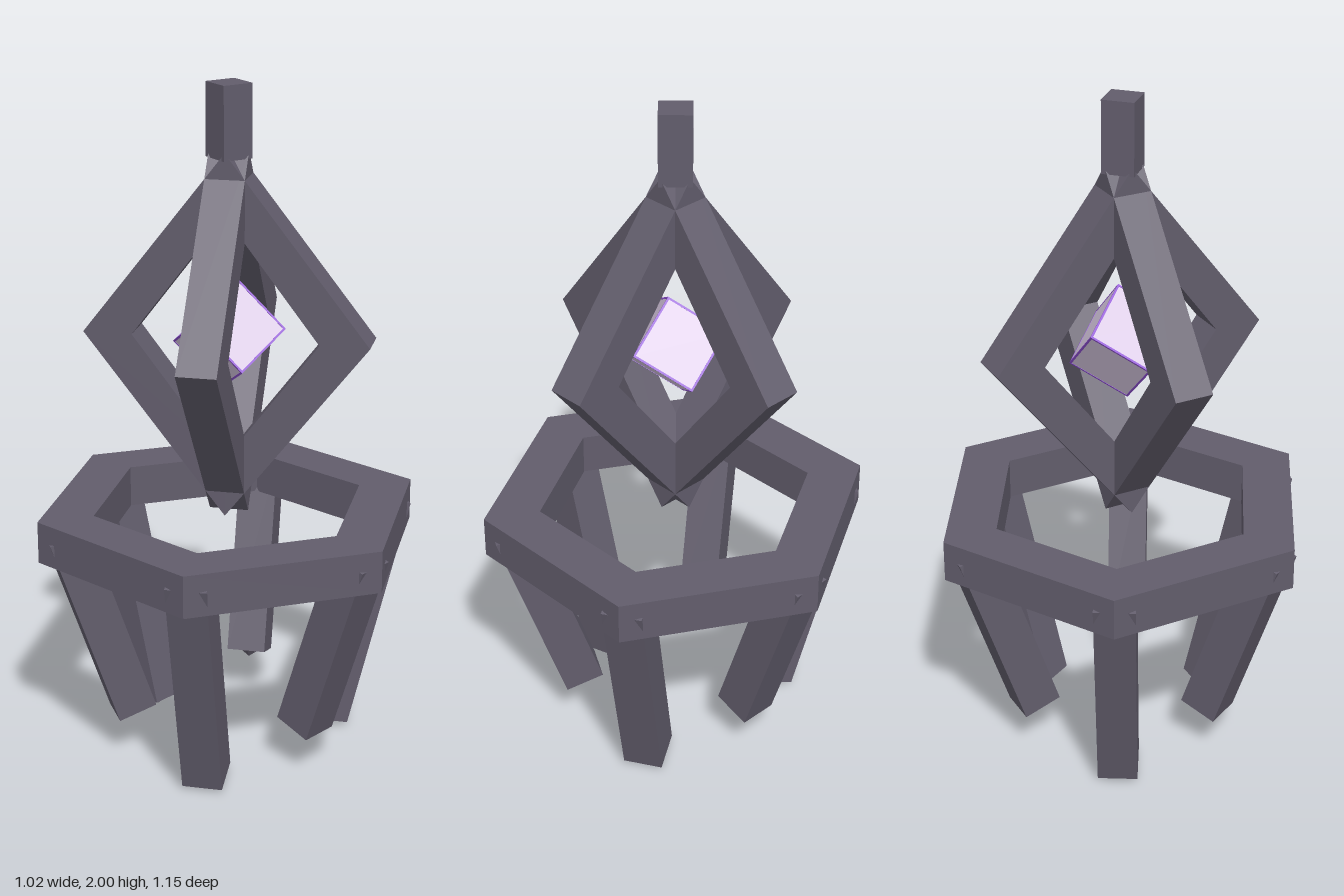
import * as THREE from 'three';

export function createModel() {
  const model = new THREE.Group();
  const makeMaterial = (name, color) => {
    const m = new THREE.MeshStandardMaterial({ color, flatShading: true });
    m.name = name;
    return m;
  };
  const iron = makeMaterial('dark iron', 0x625d6c);
  const lavender = makeMaterial('lavender crystal', 0xd8c8e2);
  const violet = makeMaterial('violet edge', 0x8e4fd2);

  const add = (parent, name, geometry, material) => {
    const mesh = new THREE.Mesh(geometry, material);
    mesh.name = name;
    parent.add(mesh);
    return mesh;
  };

  // Flat frame: outer outline (counter-clockwise) with a hole, centred on its depth
  const frameGeometry = (outer, inner, depth) => {
    const shape = new THREE.Shape(outer);
    shape.holes.push(new THREE.Path(inner));
    return new THREE.ExtrudeGeometry(shape, { depth, bevelEnabled: false })
      .translate(0, 0, -depth / 2);
  };
  const hexagon = (r) => Array.from({ length: 6 }, (_, i) =>
    new THREE.Vector2(-r * Math.sin(i * Math.PI / 3), r * Math.cos(i * Math.PI / 3)));
  const diamond = (w, h) => [[w, 0], [0, h], [-w, 0], [0, -h]]
    .map(([x, y]) => new THREE.Vector2(x, y));

  // Hexagonal base ring
  const ring = add(model, 'hexagonRing', frameGeometry(hexagon(0.576), hexagon(0.41), 0.125), iron);
  ring.rotation.x = -Math.PI / 2;
  ring.position.y = 0.704;

  // Six legs leaning inward, alternately long and short
  for (let k = 0; k < 6; k++) {
    const long = k % 2 === 0;
    const top = [0.728, 0.497];
    const bottom = long ? [0.024, 0.307] : [0.145, 0.302];
    const dy = top[0] - bottom[0], dz = top[1] - bottom[1];
    const length = Math.hypot(dy, dz);

    const pivot = new THREE.Group();
    pivot.name = long ? 'longLeg' : 'shortLeg';
    pivot.rotation.y = k * Math.PI / 3;
    model.add(pivot);

    const leg = new THREE.Group();
    leg.name = 'leaningLeg';
    leg.position.set(0, (top[0] + bottom[0]) / 2, (top[1] + bottom[1]) / 2);
    leg.rotation.x = Math.atan2(dz, dy);
    pivot.add(leg);
    add(leg, 'legBar', new THREE.BoxGeometry(0.118, length, 0.118), iron);
    const tip = add(leg, 'legTip', new THREE.ConeGeometry(0.034, 0.024, 4), iron);
    tip.rotation.x = Math.PI;
    tip.position.y = -length / 2 - 0.012;
  }

  // Two crossed diamond frames
  const cage = frameGeometry(diamond(0.417, 0.536), diamond(0.273, 0.36), 0.115);
  for (const turn of [0, Math.PI / 2]) {
    const frame = add(model, 'diamondFrame', cage, iron);
    frame.position.y = 1.276;
    frame.rotation.y = turn;
  }

  // Square post on top, turned corner forward
  const post = add(model, 'topPost', new THREE.BoxGeometry(0.094, 0.21, 0.094), iron);
  post.position.y = 1.895;
  post.rotation.y = Math.PI / 4;

  // Tilted crystal cube with violet edges
  const size = 0.192;
  const crystal = new THREE.Group();
  crystal.name = 'crystal';
  crystal.position.y = 1.275;
  crystal.rotation.set(0, Math.PI / 4, Math.PI / 4, 'ZYX');
  model.add(crystal);
  add(crystal, 'crystalCube', new THREE.BoxGeometry(size, size, size), lavender);
  for (const axis of ['x', 'y', 'z']) {
    const [a, b] = ['x', 'y', 'z'].filter((n) => n !== axis);
    for (const i of [-1, 1]) for (const j of [-1, 1]) {
      const edge = add(crystal, 'crystalEdge', new THREE.BoxGeometry(0.006, 0.006, 0.006), violet);
      edge.scale[axis] = size / 0.006;
      edge.position[a] = i * (size / 2 - 0.002);
      edge.position[b] = j * (size / 2 - 0.002);
    }
  }

  return model;
}
